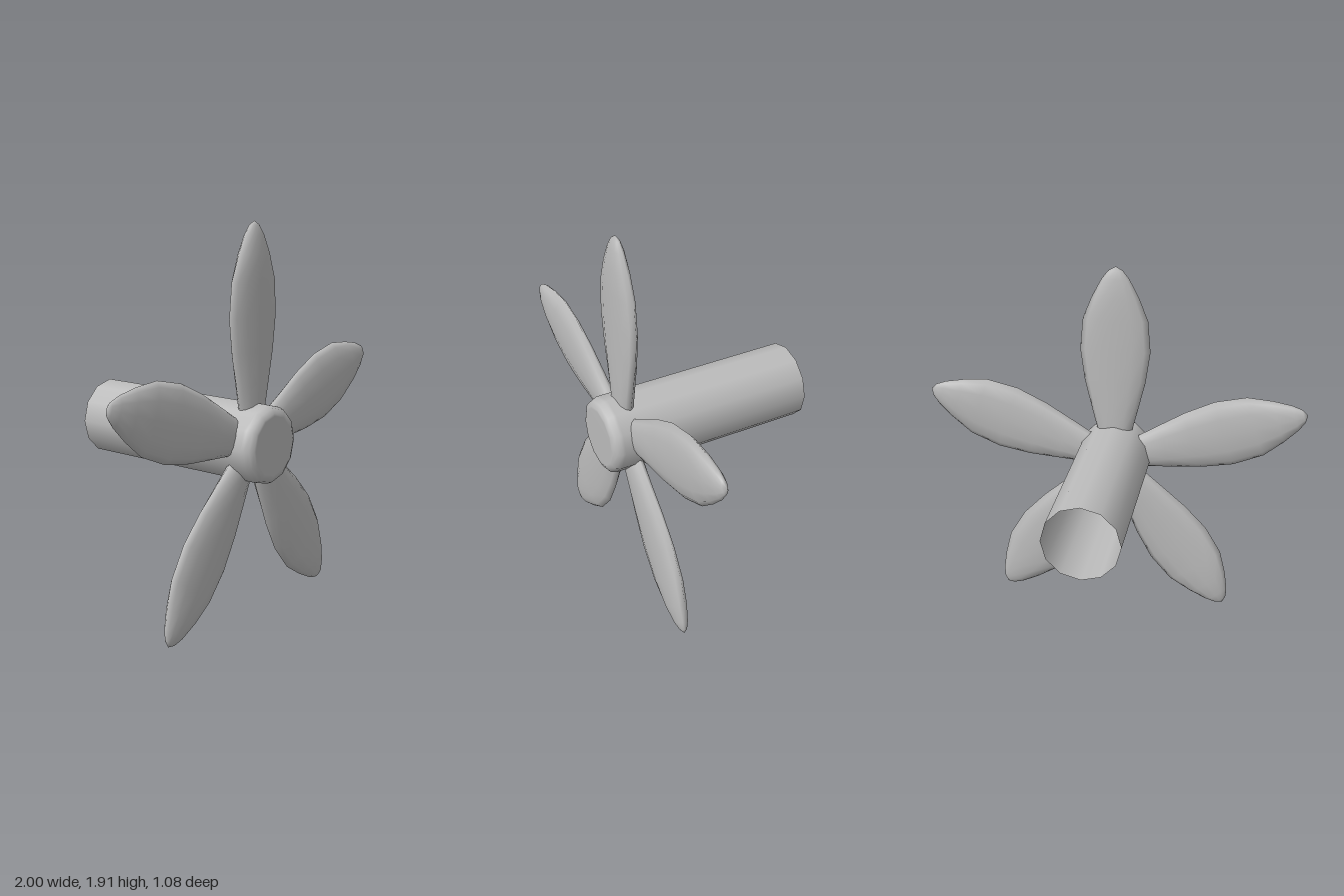
import * as THREE from 'three';

const HUB_Y = 0.865;   // height of the shaft axis
const BLADE_Z = 0.4;   // plane of the blades

// Blade built from lens-shaped rings stacked along +y: [radius, half width, half thickness]
function bladeGeometry() {
  const rings = [
    [0.1, 0.07, 0.036], [0.16, 0.092, 0.04], [0.29, 0.124, 0.04], [0.44, 0.16, 0.04],
    [0.61, 0.183, 0.04], [0.777, 0.168, 0.04], [0.9, 0.118, 0.038],
    [0.99, 0.07, 0.027], [1.033, 0.036, 0.015],
  ];
  const quarter = [[1, 0], [0.84, 0.52], [0.5, 0.9], [0, 1]];
  const lens = [
    ...quarter,
    ...quarter.slice(0, 3).reverse().map(([x, z]) => [-x, z]),
    ...quarter.slice(1).map(([x, z]) => [-x, -z]),
    ...quarter.slice(1, 3).reverse().map(([x, z]) => [x, -z]),
  ];
  const n = lens.length;
  const positions = [];
  const index = [];
  for (const [r, w, t] of rings) {
    for (const [x, z] of lens) positions.push(x * w, r, z * t);
  }
  for (let i = 0; i < rings.length - 1; i++) {
    for (let j = 0; j < n; j++) {
      const a = i * n + j;
      const b = i * n + (j + 1) % n;
      index.push(a, a + n, b, b, a + n, b + n);
    }
  }
  // close the root and the tip
  const root = rings.length * n;
  const last = (rings.length - 1) * n;
  positions.push(0, 0.1, 0, 0, 1.053, 0);
  for (let j = 0; j < n; j++) {
    const k = (j + 1) % n;
    index.push(root, j, k, root + 1, last + k, last + j);
  }
  const geometry = new THREE.BufferGeometry();
  geometry.setAttribute('position', new THREE.Float32BufferAttribute(positions, 3));
  geometry.setIndex(index);
  geometry.computeVertexNormals();
  return geometry;
}

export function createModel() {
  const model = new THREE.Group();
  model.name = 'propeller';
  const grey = new THREE.MeshStandardMaterial({ color: 0xbcbcbc, side: THREE.DoubleSide });
  grey.name = 'grey';

  // Hollow shaft, open at the back, with a rounded nose
  const profile = [
    [0.194, -0.54], [0.194, 0.48], [0.193, 0.495], [0.182, 0.522],
    [0.158, 0.534], [0.145, 0.535], [0, 0.535],
  ].map(([r, y]) => new THREE.Vector2(r, y));
  const shaft = new THREE.Mesh(new THREE.LatheGeometry(profile, 12), grey);
  shaft.name = 'shaft';
  shaft.rotation.x = Math.PI / 2;
  shaft.position.y = HUB_Y;
  model.add(shaft);

  // Five evenly spaced blades
  const geometry = bladeGeometry();
  for (let i = 0; i < 5; i++) {
    const blade = new THREE.Mesh(geometry, grey);
    blade.name = `blade${i + 1}`;
    blade.position.set(0, HUB_Y, BLADE_Z);
    blade.rotation.z = (i * Math.PI * 2) / 5;
    model.add(blade);
  }
  return model;
}
